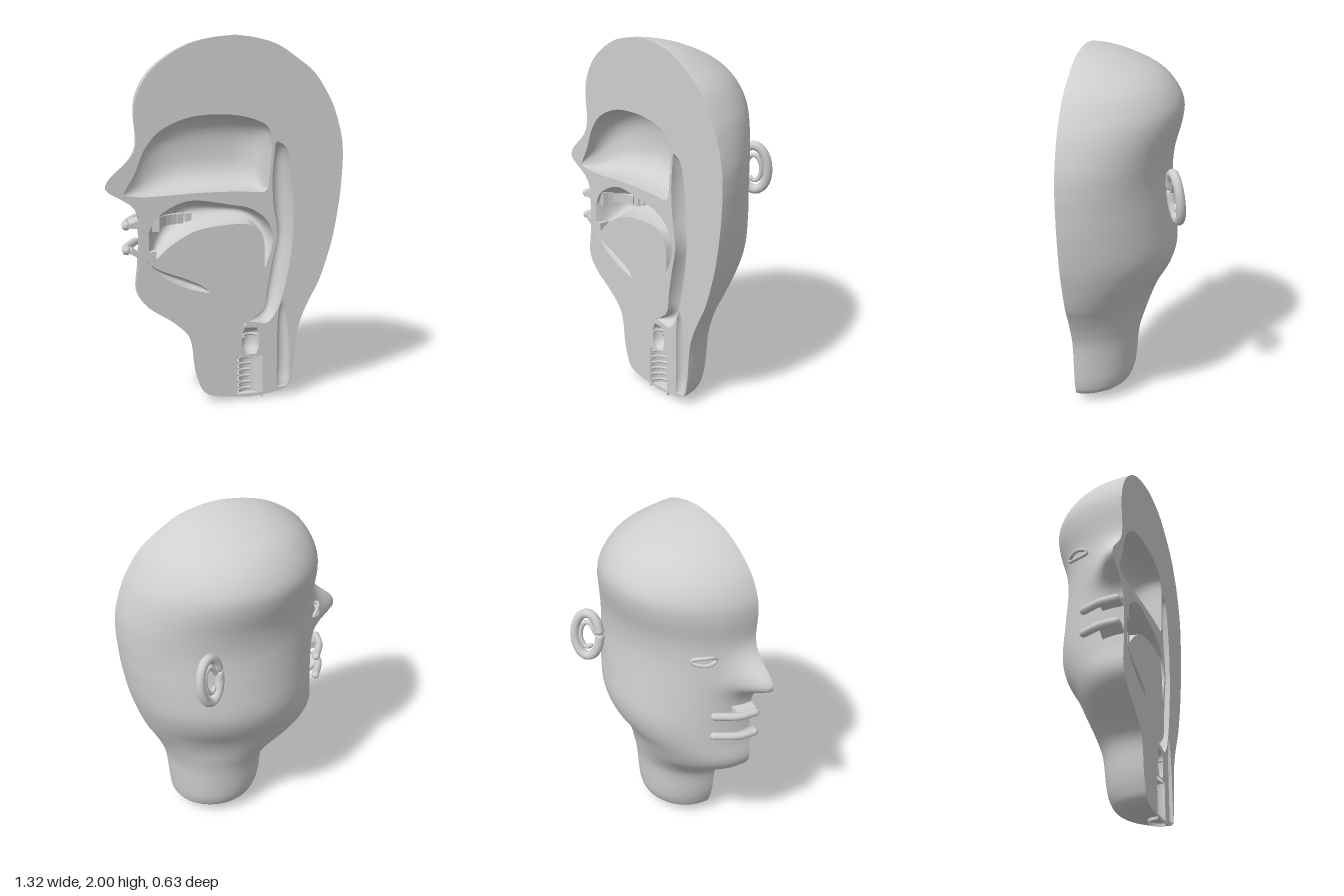
import * as THREE from 'three';

const CUT = 0.31; // z of the flat section plane
const clay = new THREE.MeshStandardMaterial({ color: 0xcfcfcf, side: THREE.DoubleSide });
clay.name = 'light grey';

// Stations [ax, ay, bx, by, depth]: two edges on the section plane and the sag behind them
function smooth(rows, n) {
  const f = new THREE.CubicInterpolant(rows.map((_, i) => i), rows.flat(), 5);
  return Array.from({ length: n + 1 }, (_, i) => Array.from(f.evaluate((i / n) * (rows.length - 1))));
}

// Half-round surface spanning the two edges
function loft(stations, m, power = 1, bump = () => 0) {
  const pos = [], idx = [];
  stations.forEach(([ax, ay, bx, by, d], i) => {
    for (let j = 0; j <= m; j++) {
      const t = (j / m) * Math.PI;
      const k = (1 - Math.sign(Math.cos(t)) * Math.abs(Math.cos(t)) ** power) / 2;
      const sag = Math.max(d, 0) * Math.max(Math.sin(t), 0) ** power;
      const y = ay + (by - ay) * k;
      pos.push(ax + (bx - ax) * k - (t < Math.PI / 2 ? bump(y, sag) : 0), y, CUT - sag);
      if (i && j) {
        const c = i * (m + 1) + j, b = c - m - 1;
        idx.push(b - 1, c - 1, b, b, c - 1, c);
      }
    }
  });
  const g = new THREE.BufferGeometry();
  g.setAttribute('position', new THREE.Float32BufferAttribute(pos, 3));
  g.setIndex(idx);
  g.computeVertexNormals();
  return g;
}

const outline = (st, bump = () => 0) => [
  ...st.map(([x, y]) => new THREE.Vector2(x - bump(y, 0), y)),
  ...st.map(([, , x, y]) => new THREE.Vector2(x, y)).reverse(),
];

// Nose swelling, widest at the section plane
const nose = (y, d) =>
  0.17 * Math.exp(-(((y - 1.215) / (y > 1.215 ? 0.125 : 0.08)) ** 2) - (d / 0.12) ** 2);

// Head: [y, front, back, depth]
const headRows = [
  [0.01, 0.12, 0.15, 0], [0.03, -0.06, 0.30, 0.16], [0.06, -0.125, 0.36, 0.235],
  [0.12, -0.155, 0.38, 0.27], [0.2, -0.175, 0.39, 0.285], [0.36, -0.2, 0.405, 0.30],
  [0.46, -0.29, 0.435, 0.325], [0.555, -0.43, 0.48, 0.355], [0.65, -0.497, 0.53, 0.395],
  [0.78, -0.488, 0.575, 0.47], [0.91, -0.48, 0.61, 0.505], [1.09, -0.485, 0.64, 0.493],
  [1.22, -0.49, 0.652, 0.48], [1.33, -0.49, 0.657, 0.476], [1.45, -0.488, 0.648, 0.49],
  [1.6, -0.5, 0.605, 0.527], [1.7, -0.485, 0.555, 0.528], [1.8, -0.43, 0.485, 0.475],
  [1.88, -0.345, 0.385, 0.385], [1.95, -0.225, 0.275, 0.23], [1.985, -0.1, 0.16, 0.1],
  [2.0, 0.03, 0.05, 0],
].map(([y, f, b, d]) => [f, y, b, y, d]);

const cavities = {
  nasalCavity: [
    [-0.56, 1.187, -0.555, 1.172, 0], [-0.5, 1.29, -0.47, 1.16, 0.08], [-0.45, 1.41, -0.38, 1.16, 0.15],
    [-0.36, 1.51, -0.28, 1.165, 0.2], [-0.2, 1.575, -0.15, 1.17, 0.22], [0, 1.584, 0, 1.17, 0.22],
    [0.15, 1.555, 0.12, 1.165, 0.2], [0.235, 1.5, 0.2, 1.16, 0.14], [0.25, 1.39, 0.23, 1.18, 0],
  ],
  pharynx: [
    [0.268, 1.42, 0.28, 1.435, 0], [0.264, 1.36, 0.335, 1.39, 0.06], [0.255, 1.25, 0.365, 1.25, 0.09],
    [0.26, 1.1, 0.38, 1.08, 0.1], [0.285, 0.92, 0.378, 0.92, 0.1], [0.255, 0.76, 0.36, 0.77, 0.1],
    [0.23, 0.62, 0.325, 0.6, 0.09], [0.215, 0.52, 0.28, 0.48, 0.07], [0.16, 0.465, 0.24, 0.435, 0.04],
    [0.12, 0.445, 0.22, 0.425, 0],
  ],
  mouthCavity: [
    [-0.43, 0.97, -0.43, 0.81, 0], [-0.38, 1.05, -0.39, 0.82, 0.08], [-0.28, 1.11, -0.31, 0.89, 0.15],
    [-0.17, 1.13, -0.17, 0.965, 0.18], [0.01, 1.1, 0.01, 0.99, 0.18], [0.14, 1.07, 0.14, 0.98, 0.15],
    [0.23, 0.995, 0.195, 0.92, 0.1], [0.262, 0.89, 0.212, 0.84, 0.06], [0.22, 0.745, 0.21, 0.745, 0],
  ],
  jawRecess: [
    [-0.46, 0.835, -0.455, 0.82, 0], [-0.38, 0.765, -0.36, 0.725, 0.03], [-0.23, 0.705, -0.23, 0.655, 0.05],
    [-0.14, 0.66, -0.16, 0.632, 0.03], [-0.095, 0.622, -0.1, 0.618, 0],
  ],
  larynx: [
    [0.105, 0.41, 0.175, 0.405, 0], [0.09, 0.37, 0.185, 0.37, 0.05], [0.09, 0.3, 0.185, 0.3, 0.05],
    [0.11, 0.255, 0.17, 0.255, 0.01],
  ],
  trachea: [
    [0.062, 0.245, 0.21, 0.245, 0.02], [0.062, 0.23, 0.21, 0.23, 0.07], [0.062, 0.13, 0.21, 0.13, 0.075],
    [0.062, 0.03, 0.21, 0.03, 0.075],
  ],
  oesophagus: [
    [0.312, 0.56, 0.322, 0.56, 0], [0.295, 0.47, 0.345, 0.47, 0.03], [0.29, 0.33, 0.36, 0.33, 0.04],
    [0.29, 0.15, 0.365, 0.15, 0.04], [0.292, 0.055, 0.362, 0.055, 0.02],
  ],
};

export function createModel() {
  const model = new THREE.Group();
  const add = (name, geometry, parent = model) => {
    const mesh = new THREE.Mesh(geometry, clay);
    mesh.name = name;
    parent.add(mesh);
    return mesh;
  };
  const tube = (name, pts, r, closed = false, capped = true) => {
    const v = pts.map((p) => new THREE.Vector3(...p));
    add(name, new THREE.TubeGeometry(new THREE.CatmullRomCurve3(v, closed), 48, r, 12, closed));
    if (closed || !capped) return;
    for (const end of [v[0], v[v.length - 1]])
      add(name + 'End', new THREE.SphereGeometry(r, 12, 8)).position.copy(end);
  };

  // Outer skin and the sectioned face with its openings
  const head = smooth(headRows, 120);
  add('headSkin', loft(head, 72, 1, nose));
  const section = new THREE.Shape(outline(head, nose));
  for (const [name, rows] of Object.entries(cavities)) {
    const st = smooth(rows, 36);
    section.holes.push(new THREE.Path(outline(st)));
    add(name, loft(st, 24, name === 'nasalCavity' ? 0.75 : 1));
  }
  add('sectionFace', new THREE.ShapeGeometry(section)).position.z = CUT;

  // Windpipe end, its rings and the vocal fold band
  const pipe = add('windpipeEnd', new THREE.CylinderGeometry(0.074, 0.074, 0.05, 24, 1, true, Math.PI / 2, Math.PI));
  pipe.position.set(0.136, 0.025, CUT);
  for (let i = 0; i < 6; i++) {
    const ring = add('windpipeRing', new THREE.TorusGeometry(0.07, 0.008, 8, 16, Math.PI * 0.6));
    ring.rotation.set(-Math.PI / 2, 0, Math.PI * 0.4);
    ring.position.set(0.136, 0.04 + i * 0.036, CUT);
  }
  const fold = add('vocalFold', new THREE.TorusGeometry(0.044, 0.008, 8, 20, Math.PI));
  fold.rotation.x = -Math.PI / 2;
  fold.position.set(0.138, 0.36, CUT);
  const flap = add('epiglottis', new THREE.ConeGeometry(0.025, 0.06, 12));
  flap.position.set(0.085, 0.445, CUT - 0.02);
  flap.rotation.z = 0.7;

  // Lips
  for (const [name, y] of [['upperLip', 1.005], ['lowerLip', 0.872]])
    tube(name, [[-0.548, y, CUT - 0.02], [-0.53, y, 0.2], [-0.46, y + 0.005, 0.08]], 0.022);
  const wedge = (name, pts) => {
    const g = new THREE.ExtrudeGeometry(new THREE.Shape(pts.map((p) => new THREE.Vector2(...p))), { depth: 0.12, bevelEnabled: false });
    add(name, g).position.z = CUT - 0.121;
  };
  wedge('upperLipWedge', [[-0.545, 0.995], [-0.43, 0.985], [-0.43, 1.05], [-0.53, 1.02]]);
  wedge('lowerLipWedge', [[-0.54, 0.865], [-0.45, 0.81], [-0.43, 0.82], [-0.52, 0.885]]);

  // Teeth along a curved arch
  const arch = new THREE.QuadraticBezierCurve3(
    new THREE.Vector3(-0.385, 1.01, 0.28), new THREE.Vector3(-0.36, 1.01, 0.16), new THREE.Vector3(-0.18, 1.01, 0.15));
  for (let i = 0; i < 8; i++) {
    const p = arch.getPoint(i / 7), dir = arch.getTangent(i / 7);
    const tooth = add('upperTooth', new THREE.BoxGeometry(0.036, i < 2 ? 0.085 : 0.055, 0.04));
    tooth.position.copy(p);
    tooth.rotation.y = Math.atan2(-dir.z, dir.x);
  }
  add('lowerTooth', new THREE.BoxGeometry(0.04, 0.075, 0.07)).position.set(-0.41, 0.825, CUT - 0.034);

  // Ear: rim and inner fold standing out from the side
  const earPoint = (u, v) => [0.3 + u * 0.85 + v * 0.05, 1.255 + v, -0.243 - u * 0.52 + v * 0.1];
  const ring = (w, h, from, to, n) => Array.from({ length: n }, (_, i) => {
    const t = from + ((to - from) * i) / (n - 1);
    return earPoint(w * Math.cos(t), h * Math.sin(t));
  });
  tube('earRim', ring(0.078, 0.13, -Math.PI, Math.PI * 0.9, 16), 0.026);
  tube('earFold', [...ring(0.042, 0.075, -2.2, 1.9, 9), earPoint(-0.05, 0.02)], 0.013);

  // Almond eyelid
  const lid = Array.from({ length: 14 }, (_, i) => {
    const t = (i / 14) * Math.PI * 2, u = Math.cos(t);
    return [-0.415 - 0.03 * u - 0.02 * (1 - u * u), 1.37 + 0.024 * Math.sin(t), 0.03 + 0.06 * u];
  });
  tube('eyelid', lid, 0.01, true);
  return model;
}
